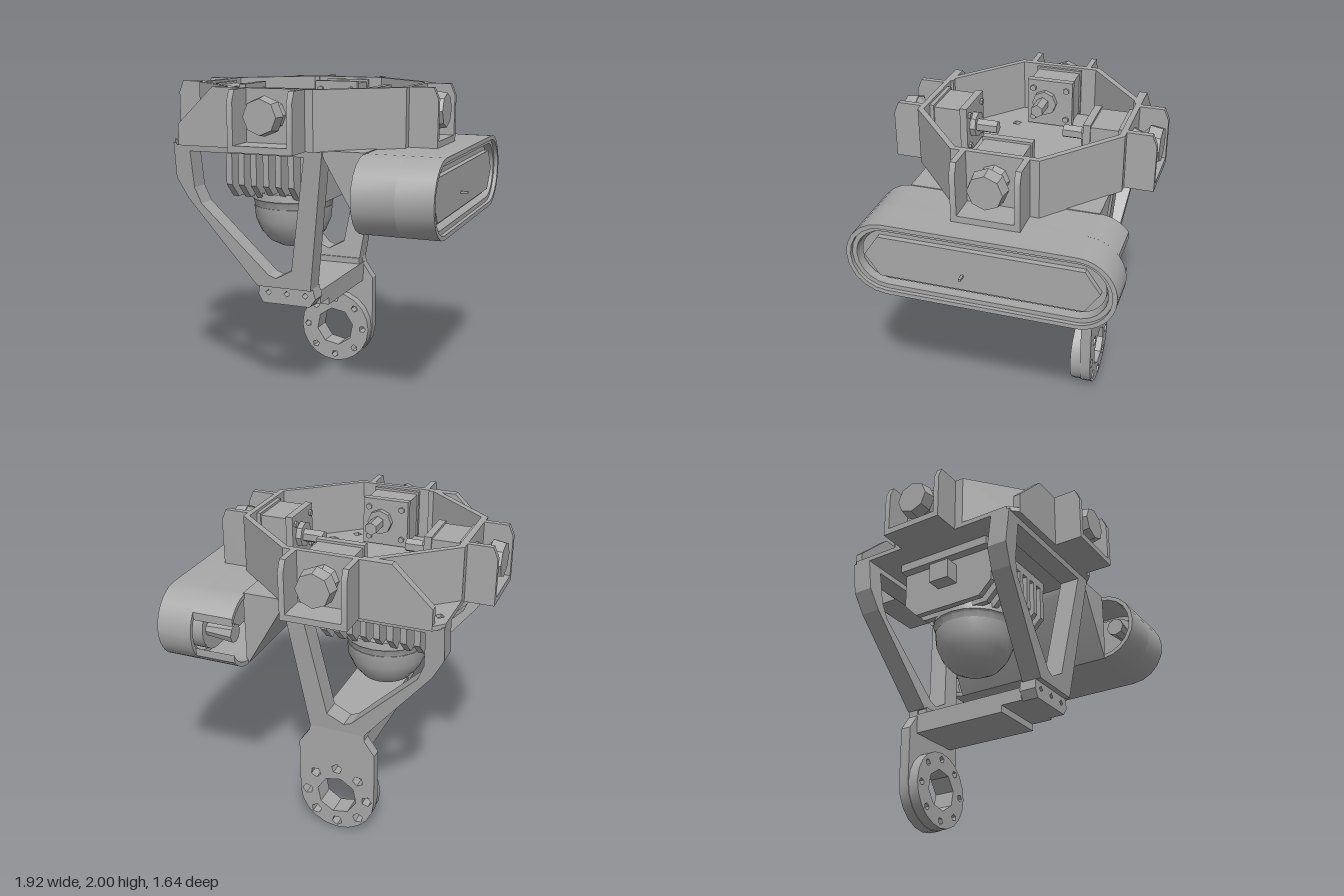
import * as THREE from 'three';
import { toCreasedNormals } from 'three/addons/utils/BufferGeometryUtils.js';

const grey = new THREE.MeshStandardMaterial({ color: 0xa8a8a8 });
grey.name = 'plain grey';
const CX = -0.085; // centre line of the octagonal tray

const vecs = (pts) => pts.map(([x, y]) => new THREE.Vector2(x, y));
const ngon = (x, y, r, n, turn = 0) => Array.from({ length: n }, (_, i) => {
  const a = turn + (i / n) * Math.PI * 2;
  return [x + r * Math.cos(a), y + r * Math.sin(a)];
});
const mirror = (half) => [...half, ...half.slice().reverse().map(([x, z]) => [x, -z])];

// outline turned counter-clockwise so that hole walls face the right way
function extrude(pts, depth, holes = []) {
  const outline = vecs(pts);
  if (THREE.ShapeUtils.isClockWise(outline)) outline.reverse();
  const shape = new THREE.Shape(outline);
  holes.forEach((h) => shape.holes.push(new THREE.Path(vecs(h))));
  const g = new THREE.ExtrudeGeometry(shape, { depth, bevelEnabled: false });
  return toCreasedNormals(g, 0.5);
}
// horizontal slab from an (x, z) outline
const slab = (pts, y0, y1, holes) => extrude(pts, y1 - y0, holes).rotateX(Math.PI / 2).translate(0, y1, 0);
// slab across x from a (-z, y) outline
const across = (pts, x0, x1, holes) => extrude(pts, x1 - x0, holes).rotateY(Math.PI / 2).translate(x0, 0, 0);
const box = (x0, x1, y0, y1, z0, z1) => new THREE.BoxGeometry(x1 - x0, y1 - y0, z1 - z0)
  .translate((x0 + x1) / 2, (y0 + y1) / 2, (z0 + z1) / 2);
// cylinder along z, r0 at z0 and r1 at z1
const rod = (r0, r1, z0, z1, n) => toCreasedNormals(new THREE.CylinderGeometry(r1, r0, z1 - z0, n)
  .rotateX(Math.PI / 2).translate(0, 0, (z0 + z1) / 2), 0.5);

function add(parent, name, geometry) {
  const m = new THREE.Mesh(geometry, grey);
  m.name = name;
  parent.add(m);
  return m;
}

function group(parent, name) {
  const g = new THREE.Group();
  g.name = name;
  parent.add(g);
  return g;
}

// Octagonal tray: floor with bolt holes, wall and sloped corner gussets
function buildTray(root) {
  const tray = group(root, 'tray');
  const bolts = [[-0.72, 0.5], [-0.49, 0.22], [0.09, 0.22], [0.16, 0.5], [0.28, 0.36], [0.4, 0.25]];
  const holes = [];
  bolts.forEach(([x, z], i) => [-1, 1].forEach((s) =>
    holes.push(ngon(x, s * z, i > 3 ? 0.04 : 0.03, i > 3 ? 5 : 4, i))));
  const floor = mirror([[-0.78, 0.58], [-0.72, 0.64], [0.17, 0.64], [0.61, 0.26]]);
  add(tray, 'trayFloor', slab(floor, 1.64, 1.67, holes));
  const outer = mirror([[-0.78, 0.26], [-0.33, 0.64], [0.17, 0.64], [0.61, 0.26]]);
  const inner = mirror([[-0.74, 0.245], [-0.315, 0.605], [0.155, 0.605], [0.575, 0.245]]);
  add(tray, 'trayWall', slab(outer, 1.64, 2, [inner]));
  const gusset = [[-0.72, 1.64], [-0.3, 1.64], [-0.3, 2], [-0.48, 2], [-0.72, 1.77]];
  [-0.64, 0.59].forEach((z) => add(tray, 'cornerGusset', extrude(gusset, 0.05).translate(0, 0, z)));
}

// Motor with its outer bracket; local z points outward from the wall
function buildMotor(root, x, z, turn) {
  const unit = group(root, 'motorUnit');
  unit.position.set(x, 0, z);
  unit.rotation.y = turn;
  const cheek = [[0, 1.64], [0, 2], [-0.15, 2], [-0.18, 1.93], [-0.18, 1.64]];
  [-0.205, 0.17].forEach((cx) => add(unit, 'bracketCheek', across(cheek, cx, cx + 0.035)));
  add(unit, 'bracketFloor', box(-0.19, 0.19, 1.64, 1.68, 0, 0.18));
  add(unit, 'motorBody', box(-0.14, 0.14, 1.69, 1.97, -0.25, -0.05));
  add(unit, 'motorBackPlate', box(-0.15, 0.15, 1.68, 1.985, -0.06, -0.03));
  add(unit, 'motorFacePlate', box(-0.15, 0.15, 1.68, 1.985, -0.275, -0.23));
  add(unit, 'motorBoss', rod(0.08, 0.08, -0.31, -0.27, 8).translate(0.03, 1.84, 0));
  add(unit, 'motorShaft', rod(0.042, 0.042, -0.44, -0.3, 6).translate(0.04, 1.84, 0));
  for (const sx of [-1, 1]) for (const y of [1.73, 1.93])
    add(unit, 'motorScrew', rod(0.02, 0.02, -0.29, -0.27, 6).translate(sx * 0.11, y, 0));
  add(unit, 'knobNeck', rod(0.1, 0.065, -0.03, 0.06, 8).translate(0, 1.85, 0));
  add(unit, 'knobFlare', rod(0.065, 0.11, 0.06, 0.1, 8).translate(0, 1.85, 0));
  add(unit, 'knobHead', rod(0.118, 0.105, 0.1, 0.178, 8).translate(0, 1.85, 0));
}

// Leaning V-shaped legs, cross bar and the drilled mounting lug
function buildFrame(root) {
  const frame = group(root, 'frame');
  const outline = [[-0.78, 1.65], [-0.78, 1.43], [-0.71, 1.3], [-0.27, 0.76], [0.09, 0.76], [0.21, 1.65]];
  const opening = [[-0.67, 1.6], [-0.66, 1.37], [-0.62, 1.27], [-0.19, 0.84], [-0.14, 0.82],
    [-0.03, 0.88], [0.09, 1.6]];
  [-1, 1].forEach((side) => {
    const leg = extrude(outline, 0.13, [opening]);
    leg.translate(0, 0, side > 0 ? 0.365 : -0.495);
    const p = leg.attributes.position;
    for (let i = 0; i < p.count; i++) p.setZ(i, p.getZ(i) + side * (p.getY(i) - 0.72) * 0.112);
    leg.computeVertexNormals();
    add(frame, side > 0 ? 'frontLeg' : 'backLeg', leg);
  });
  const foot = [[-0.27, 0.77], [-0.28, 0.7], [-0.25, 0.645], [0.07, 0.645], [0.11, 0.7], [0.09, 0.77]];
  const pins = [-0.21, CX, 0.04].map((x) => ngon(x, 0.715, 0.02, 4));
  add(frame, 'frontFoot', extrude(foot, 0.11, [...pins]).translate(0, 0, 0.355));
  add(frame, 'crossBar', box(-0.27, 0.1, 0.645, 0.73, -0.46, 0.36));
  add(frame, 'lowerShelf', box(-0.27, 0.1, 0.6, 0.65, -0.46, 0.22));
  add(frame, 'backFoot', box(-0.26, 0.09, 0.72, 0.77, -0.46, -0.36));

  const arc = ngon(CX, 0.257, 0.255, 20, Math.PI).slice(0, 11);
  const bore = ngon(CX, 0.257, 0.135, 8, 0.2);
  const drill = (r) => Array.from({ length: 8 }, (_, i) => {
    const a = (i * Math.PI) / 4;
    return ngon(CX + 0.205 * Math.cos(a), 0.257 + 0.205 * Math.sin(a), r, 5, a);
  });
  const lug = [...arc, [0.17, 0.62], [0.1, 0.72], [0.09, 0.77], [-0.27, 0.77], [-0.27, 0.72], [-0.34, 0.62]];
  add(frame, 'mountingLug', extrude(lug, 0.07, [bore, ...drill(0.036)]).translate(0, 0, -0.495));
  add(frame, 'lugRing', extrude(ngon(CX, 0.257, 0.25, 20), 0.07, [bore, ...drill(0.024)]).translate(0, 0, -0.425));
}

// Hanging dome with a block of parallel cooling plates above it
function buildDome(root) {
  const dome = group(root, 'domeUnit');
  dome.position.x = -0.24;
  const lathe = (name, pts, n) => add(dome, name, toCreasedNormals(new THREE.LatheGeometry(vecs(pts), n), 0.6));
  lathe('dome', [[0, 0.925], [0.09, 0.93], [0.16, 0.965], [0.215, 1.03], [0.25, 1.11], [0.26, 1.2], [0, 1.2]], 24);
  lathe('collar', [[0, 1.17], [0.25, 1.17], [0.265, 1.24], [0.275, 1.25], [0.27, 1.3], [0, 1.3]], 20);
  lathe('coolerCore', [[0, 1.28], [0.2, 1.28], [0.2, 1.6], [0, 1.6]], 16);
  const plate = [[-0.33, 1.59], [-0.33, 1.36], [-0.24, 1.27], [0.24, 1.27], [0.33, 1.36], [0.33, 1.59]];
  for (let i = 0; i < 8; i++) {
    const x = (i - 3.5) * 0.086;
    add(dome, 'coolingPlate', across(plate, x - 0.02, x + 0.02));
  }
  add(dome, 'coolerCap', box(-0.38, 0.33, 1.585, 1.645, -0.33, 0.33));
  add(dome, 'connector', box(-0.42, -0.3, 1.41, 1.54, -0.07, 0.07));
}

// Wide capsule housing on the side, open at the ends, with a recessed panel
function buildHousing(root) {
  const housing = group(root, 'sideHousing');
  const half = 0.565, midY = 1.405, steps = 10;
  const capsule = (r, start = 0) => {
    const pts = [];
    const sweep = (cx, a, b) => {
      for (let i = 0; i <= steps; i++) {
        const t = a + ((b - a) * i) / steps;
        pts.push([cx + r * Math.cos(t), midY + r * Math.sin(t)]);
      }
    };
    sweep(half, start, Math.PI / 2);
    sweep(-half, Math.PI / 2, Math.PI * 1.5);
    sweep(half, Math.PI * 1.5, Math.PI * 2 - (start || 0.08));
    return pts;
  };
  const R = 0.235, r = 0.208, cut = 0.185;
  add(housing, 'housingShell', across(capsule(R), 0.72, 0.945, [capsule(r)]));
  // rear portion, cut open at the back end
  const open = [...capsule(R, Math.acos(cut / R)), ...capsule(r, Math.acos(cut / r)).reverse()];
  add(housing, 'cutShell', across(open, 0.46, 0.72));
  add(housing, 'innerRim', across(capsule(0.21), 0.74, 0.92, [capsule(0.18)]));
  const hex = (z, zi, h) => [[z, midY], [zi, midY + h], [-zi, midY + h], [-z, midY], [-zi, midY - h], [zi, midY - h]];
  add(housing, 'panelBody', across(capsule(0.162), 0.68, 0.88));
  add(housing, 'panelFace', across(hex(0.7, 0.61, 0.13), 0.87, 0.915));
  [-0.65, 0.65].forEach((z) =>
    add(housing, 'innerSpindle', rod(0.06, 0.04, 0.5, 0.7, 8).rotateY(Math.PI / 2).translate(0, midY, z)));
  add(housing, 'pin', box(0.9, 0.96, 1.363, 1.377, 0.093, 0.107));
  // wedge joining the housing to the tray
  const wedge = [[0.2, 1.645], [0.21, 1.6], [0.46, 1.17], [0.47, 1.17], [0.47, 1.645]];
  add(housing, 'joiningWedge', extrude(wedge, 1.16).translate(0, 0, -0.58));
}

export function createModel() {
  const root = new THREE.Group();
  root.name = 'sensorMount';
  buildTray(root);
  buildMotor(root, CX, 0.64, 0);
  buildMotor(root, 0.61, 0, Math.PI / 2);
  buildMotor(root, CX, -0.64, Math.PI);
  buildMotor(root, -0.78, 0, -Math.PI / 2);
  buildFrame(root);
  buildDome(root);
  buildHousing(root);
  return root;
}
